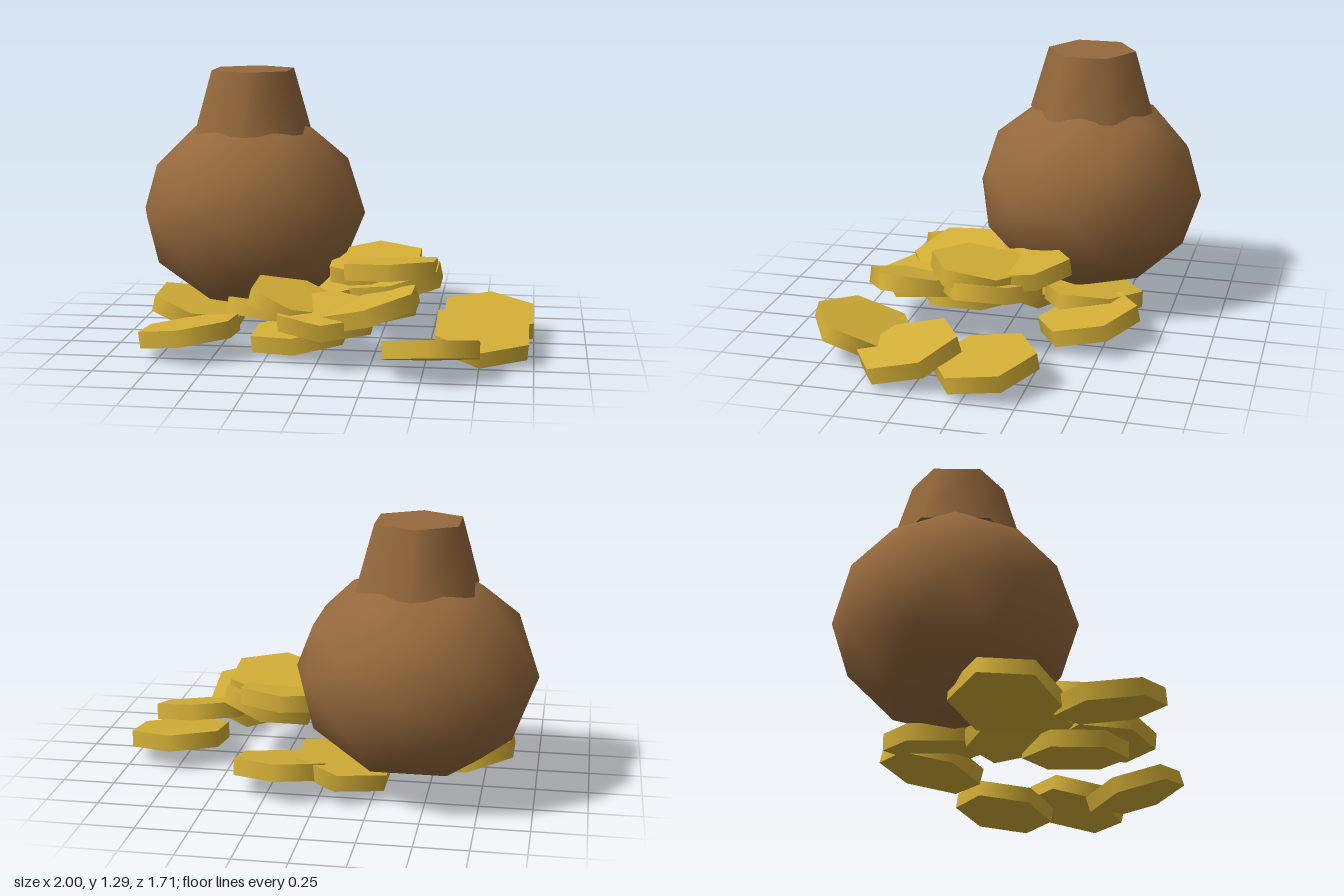
import * as THREE from 'three';

export function createModel() {
  const model = new THREE.Group();
  const clay = new THREE.MeshStandardMaterial({ name: 'brown clay', color: 0x95693c });
  const gold = new THREE.MeshStandardMaterial({ name: 'gold', color: 0xd4af37 });

  const add = (parent, name, geometry, material, x, y, z) => {
    const mesh = new THREE.Mesh(geometry, material);
    mesh.name = name;
    mesh.position.set(x, y, z);
    parent.add(mesh);
    return mesh;
  };

  // Squashed round pot with a six-sided tapering neck
  const pot = new THREE.Group();
  pot.name = 'pot';
  pot.position.set(-0.43, 0, -0.29);
  model.add(pot);
  add(pot, 'potBody', new THREE.IcosahedronGeometry(0.57, 1), clay, 0, 0.575, 0).scale.y = 0.88;
  add(pot, 'potNeck', new THREE.CylinderGeometry(0.22, 0.312, 0.31, 6), clay, 0, 1.14, 0);

  // Hexagonal coins: x, y, z, tilt about x, tilt about z
  const coins = [
    [0.54, 0.11, 0.6, -0.29, 0.04],
    [0.757, 0.115, 0.31, 0.24, -0.08],
    [0.78, 0.105, -0.06, 0.15, -0.05],
    [0.183, 0.11, -0.415, 0.22, 0],
    [-0.1, 0.12, -0.38, 0, 0.15],
    [-0.62, 0.11, 0.4, -0.1, 0.15],
    [-0.667, 0.115, -0.06, 0.05, -0.22],
    [-0.28, 0.12, 0, -0.22, -0.12],
    [-0.11, 0.08, 0.27, 0, 0.12],
    [-0.12, 0.24, 0.3, 0.05, -0.27],
    [0.04, 0.21, 0.415, 0.1, 0],
    [0.245, 0.25, 0.42, -0.05, 0.28],
    [0.33, 0.29, 0.03, 0, 0.22],
    [0.22, 0.35, -0.085, 0.14, 0.04],
    [0.31, 0.37, 0.085, -0.12, 0.05],
  ];
  const coinGeometry = new THREE.CylinderGeometry(0.25, 0.25, 0.08, 6);
  const pile = new THREE.Group();
  pile.name = 'coinPile';
  model.add(pile);
  coins.forEach(([x, y, z, tiltX, tiltZ], i) => {
    add(pile, `coin${i + 1}`, coinGeometry, gold, x, y, z).rotation.set(tiltX, 0, tiltZ);
  });

  return model;
}
